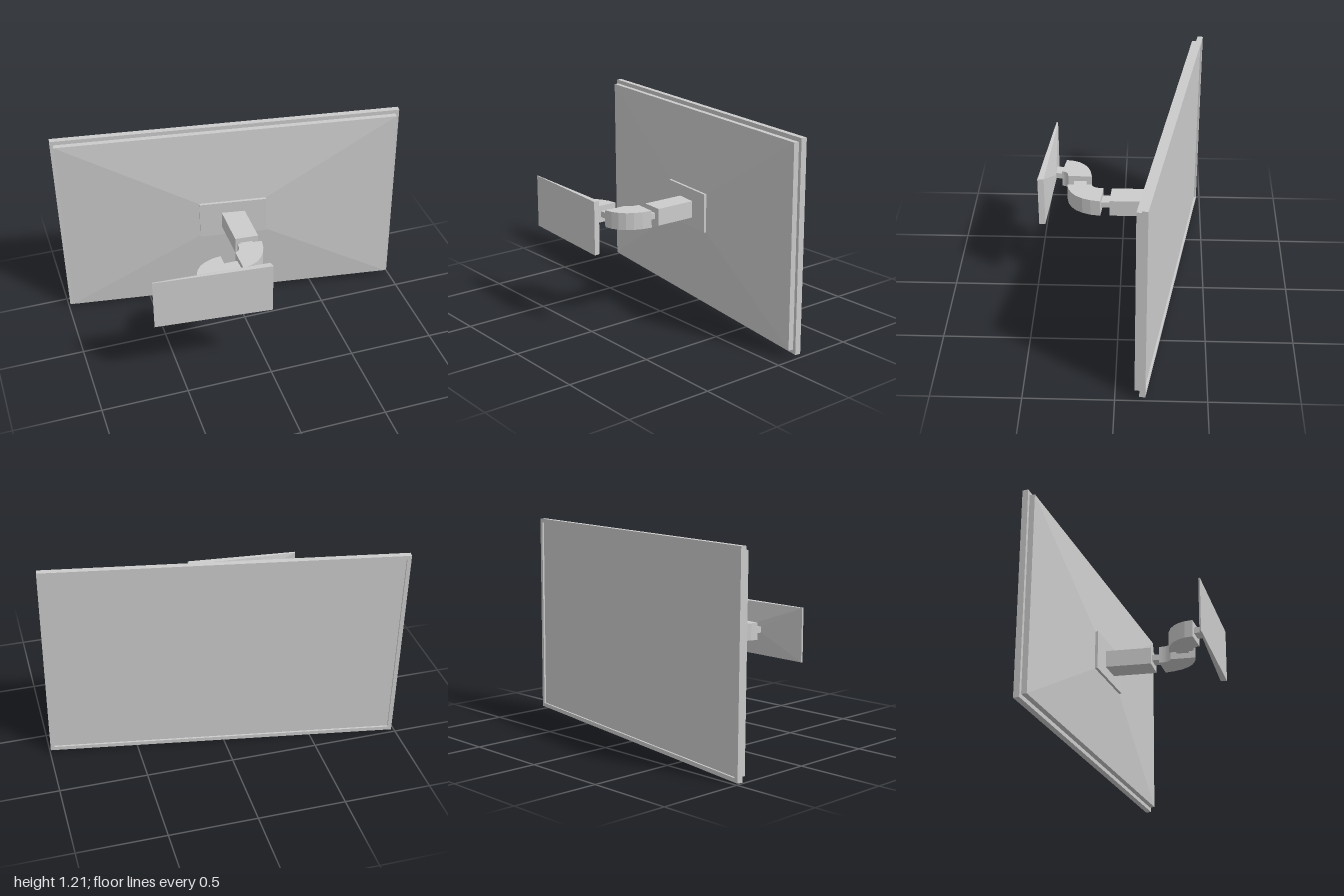
import * as THREE from 'three';

const grey = new THREE.MeshStandardMaterial({ color: 0xcccccc, flatShading: true });

function add(parent, name, geometry, x = 0, y = 0, z = 0) {
  const mesh = new THREE.Mesh(geometry, grey);
  mesh.name = name;
  mesh.position.set(x, y, z);
  parent.add(mesh);
  return mesh;
}

// Rectangle ring, counter-clockwise seen from +z; z may differ left and right
const ring = (x0, x1, y0, y1, zl, zr = zl) => [[x0, y0, zl], [x1, y0, zr], [x1, y1, zr], [x0, y1, zl]];

// Closed solid through rectangle rings stacked towards +z
function loft(rings) {
  const pos = [];
  const quad = (a, b, c, d) => pos.push(...a, ...b, ...c, ...a, ...c, ...d);
  for (let i = 0; i + 1 < rings.length; i++) {
    for (let j = 0; j < 4; j++) {
      const k = (j + 1) % 4;
      quad(rings[i][j], rings[i][k], rings[i + 1][k], rings[i + 1][j]);
    }
  }
  quad(...[...rings[0]].reverse());
  quad(...rings[rings.length - 1]);
  const g = new THREE.BufferGeometry();
  g.setAttribute('position', new THREE.Float32BufferAttribute(pos, 3));
  g.computeVertexNormals();
  return g;
}

function rectPath(path, w, h) {
  path.moveTo(-w / 2, -h / 2);
  path.lineTo(w / 2, -h / 2);
  path.lineTo(w / 2, h / 2);
  path.lineTo(-w / 2, h / 2);
  path.closePath();
  return path;
}

// Elbow: plan outline given as x, z corners; both bends are curves
function elbow(a, b, outer, c, d, inner) {
  const s = new THREE.Shape();
  s.moveTo(a[0], -a[1]);
  s.lineTo(b[0], -b[1]);
  s.quadraticCurveTo(outer[0], -outer[1], c[0], -c[1]);
  s.lineTo(d[0], -d[1]);
  s.quadraticCurveTo(inner[0], -inner[1], a[0], -a[1]);
  const g = new THREE.ExtrudeGeometry(s, { depth: 0.1, bevelEnabled: false, curveSegments: 6 });
  return g.rotateX(-Math.PI / 2);
}

export function createModel() {
  const model = new THREE.Group();
  model.name = 'wallMountedScreen';

  // Screen, turned and slightly rolled; its display side faces local -z
  const screen = new THREE.Group();
  screen.name = 'screen';
  screen.position.set(0, 0.608, -0.3225);
  screen.rotation.set(0, -0.157, 0.01);
  model.add(screen);

  const W = 2.006, H = 1.193, bezel = 0.023;
  const frame = rectPath(new THREE.Shape(), W, H);
  frame.holes.push(rectPath(new THREE.Path(), W - 2 * bezel, H - 2 * bezel));
  add(screen, 'bezel', new THREE.ExtrudeGeometry(frame, { depth: 0.033, bevelEnabled: false }));
  add(screen, 'displayPanel', new THREE.BoxGeometry(W - 2 * bezel, H - 2 * bezel, 0.022), 0, 0, 0.022);

  // Rear casing: straight rim, then a shallow pyramid up to the mounting plate
  add(screen, 'rearCasing', loft([
    ring(-0.982, 0.982, -0.573, 0.573, 0.033),
    ring(-0.982, 0.982, -0.573, 0.573, 0.063),
    ring(-0.185, 0.21, -0.11, 0.12, 0.105),
  ]));
  add(screen, 'mountingPlate', new THREE.BoxGeometry(0.395, 0.23, 0.016), 0.0125, 0.007, 0.113);

  // Folding arm
  const arm = new THREE.Group();
  arm.name = 'arm';
  model.add(arm);
  add(arm, 'armBlock', loft([
    ring(-0.074, 0.061, 0.56, 0.66, -0.225, -0.205),
    ring(-0.074, 0.061, 0.56, 0.66, 0.052, 0.062),
  ]));
  add(arm, 'screenNeck', new THREE.BoxGeometry(0.07, 0.035, 0.07), -0.01, 0.61, 0.08);
  add(arm, 'screenElbow',
    elbow([-0.11, 0.315], [0.065, 0.115], [0.065, 0.115], [0.065, 0.115], [-0.075, 0.1], [-0.075, 0.1])).geometry =
    elbow([-0.11, 0.17], [-0.11, 0.315], [0.045, 0.3], [0.065, 0.115], [-0.075, 0.1], [-0.075, 0.165]);
  arm.children[2].position.y = 0.56;
  add(arm, 'middleNeck', new THREE.BoxGeometry(0.11, 0.035, 0.074), -0.155, 0.61, 0.243);
  add(arm, 'wallElbow',
    elbow([-0.2, 0.315], [-0.2, 0.175], [-0.37, 0.19], [-0.38, 0.335], [-0.25, 0.355], [-0.245, 0.315]), 0, 0.56, 0);
  add(arm, 'wallNeck', new THREE.BoxGeometry(0.075, 0.035, 0.07), -0.317, 0.61, 0.367).rotation.y = -0.08;

  // Wall plate: pyramid back, thin rim and flat front
  add(model, 'wallPlate', loft([
    ring(-0.36, -0.26, 0.592, 0.628, 0.393),
    ring(-0.65, 0.005, 0.455, 0.765, 0.406, 0.44),
    ring(-0.653, 0.01, 0.455, 0.767, 0.415, 0.476),
  ]));

  return model;
}
